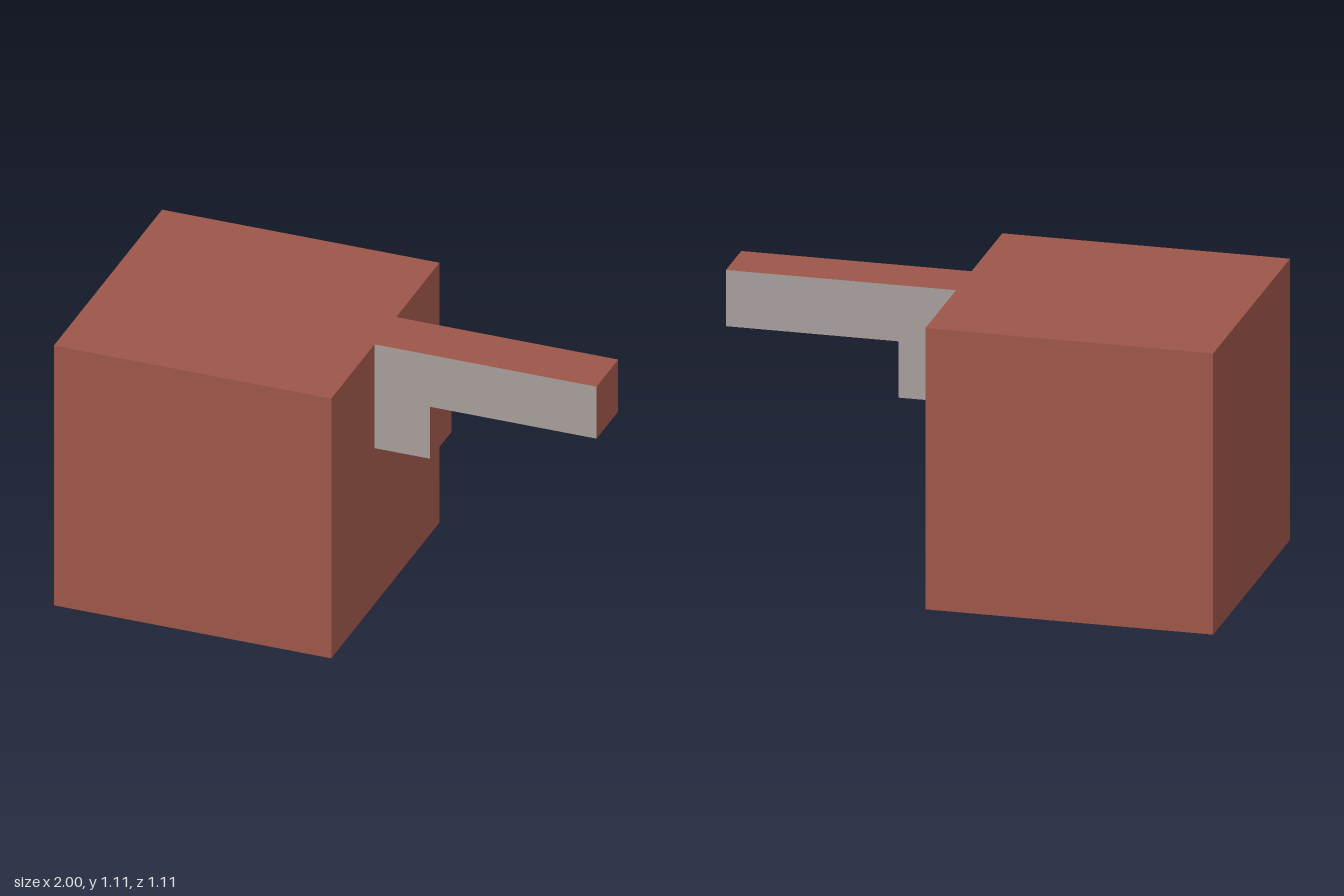
import * as THREE from 'three';

export function createModel() {
  const model = new THREE.Group();
  const u = 1 / 9; // module: the block is 10 u wide, the bracket 2 u thick

  const brick = new THREE.MeshStandardMaterial({ color: 0x9c5548 });
  brick.name = 'brick red';
  const grey = new THREE.MeshStandardMaterial({ color: 0xa69d9a });
  grey.name = 'warm grey';

  // Large cube standing on the ground
  const block = new THREE.Mesh(new THREE.BoxGeometry(10 * u, 10 * u, 10 * u), brick);
  block.name = 'block';
  block.position.set(-4 * u, 5 * u, 0);
  model.add(block);

  // L-shaped arm flush with the block's top: grey cheeks, red edges
  const outline = new THREE.Shape(
    [[1, 6], [3, 6], [3, 8], [9, 8], [9, 10], [1, 10]].map(([x, y]) => new THREE.Vector2(x * u, y * u))
  );
  const armGeometry = new THREE.ExtrudeGeometry(outline, { depth: 2 * u, bevelEnabled: false });
  armGeometry.translate(0, 0, -u);
  const arm = new THREE.Mesh(armGeometry, [grey, brick]);
  arm.name = 'arm';
  model.add(arm);

  return model;
}
